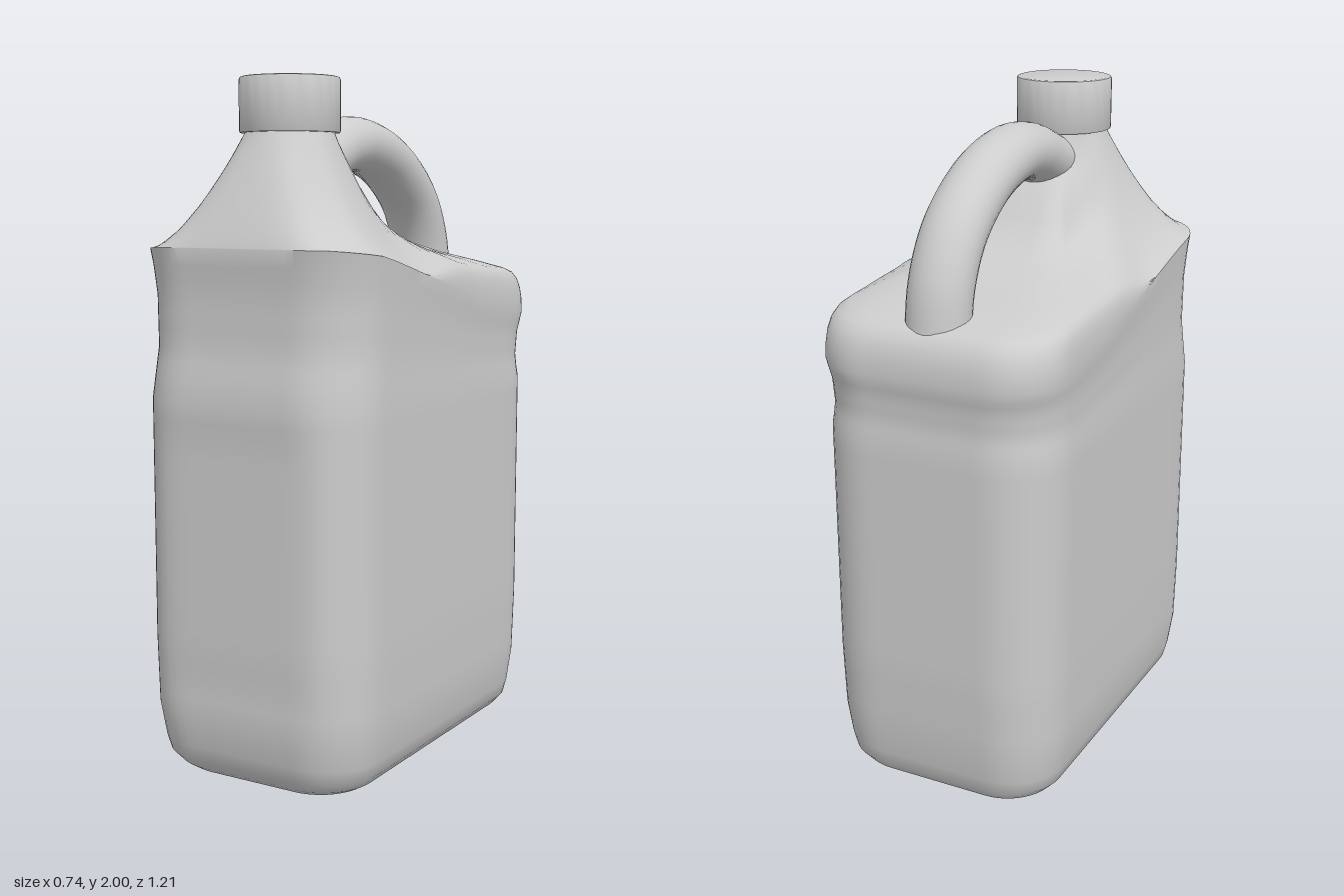
import * as THREE from 'three';
import { toCreasedNormals } from 'three/addons/utils/BufferGeometryUtils.js';

const NECK_Z = 0.307, NECK_R = 0.125, NECK_Y = 1.85;
const { lerp, smoothstep } = THREE.MathUtils;

// Linear lookup in rows sorted by their first entry
function lookup(rows, t, col = 1) {
  let i = 0;
  while (i < rows.length - 2 && t > rows[i + 1][0]) i++;
  const a = rows[i], b = rows[i + 1];
  const k = Math.min(1, Math.max(0, (t - a[0]) / (b[0] - a[0])));
  return lerp(a[col], b[col], k);
}

// Wall sections: height, half width, front z, back z, corner radius
const WALL = [
  [0, 0.26, 0.5, -0.49, 0.13],
  [0.008, 0.285, 0.52, -0.515, 0.14],
  [0.025, 0.312, 0.542, -0.54, 0.15],
  [0.055, 0.338, 0.564, -0.56, 0.16],
  [0.1, 0.35, 0.577, -0.57, 0.17],
  [0.2, 0.363, 0.595, -0.583, 0.18],
  [0.4, 0.368, 0.604, -0.594, 0.19],
  [1.1, 0.368, 0.604, -0.594, 0.19],
  [1.17, 0.364, 0.594, -0.59, 0.19],
  [1.25, 0.361, 0.58, -0.587, 0.19],
  [1.4, 0.362, 0.578, -0.592, 0.185],
  [1.48, 0.366, 0.585, -0.6, 0.18],
  [1.53, 0.369, 0.592, -0.602, 0.175],
];
// Shoulder line height along z, falling towards the back
const RIM = [[-0.6, 1.3], [-0.4, 1.31], [-0.2, 1.34], [0.03, 1.41], [0.2, 1.46], [0.4, 1.51], [0.57, 1.53]];
// Rise of the roof behind the neck, from rim (0) to neck (1)
const BACK = [[0, 0], [0.003, 0.08], [0.012, 0.14], [0.03, 0.195], [0.06, 0.235], [0.11, 0.262], [0.26, 0.31],
  [0.45, 0.365], [0.58, 0.415], [0.66, 0.455], [0.72, 0.51], [0.78, 0.6], [0.84, 0.71], [0.9, 0.79], [0.96, 0.87], [1, 1]];

// Rounded rectangle in plan, counter-clockwise from above
function outline(hx, zf, zb, r) {
  const pts = [], centres = [[hx - r, zf - r], [hx - r, zb + r], [r - hx, zb + r], [r - hx, zf - r]];
  const at = (c, a) => [centres[c % 4][0] + r * Math.sin(a), centres[c % 4][1] + r * Math.cos(a)];
  for (let c = 0; c < 4; c++) {
    for (let k = 0; k <= 10; k++) pts.push(at(c, (c + k / 10) * Math.PI / 2));
    const a = at(c, (c + 1) * Math.PI / 2), b = at(c + 1, (c + 1) * Math.PI / 2);
    for (let k = 1; k < 14; k++) pts.push([lerp(a[0], b[0], k / 14), lerp(a[1], b[1], k / 14)]);
  }
  return pts;
}

function bodyGeometry() {
  const rings = [];
  // Walls; above 1.1 the sections tilt to follow the shoulder line
  const heights = WALL.map((w) => w[0]);
  for (let y = 0.25; y < 1.08; y += 0.05) heights.push(y);
  heights.push(1.21, 1.3, 1.35, 1.44);
  heights.sort((a, b) => a - b);
  for (const h of heights) {
    const [hx, zf, zb, r] = [1, 2, 3, 4].map((c) => lookup(WALL, h, c));
    rings.push(outline(hx, zf, zb, r).map(([x, z]) => {
      const y = h <= 1.1 ? h : lerp(1.1, lookup(RIM, z), (h - 1.1) / 0.43);
      // Shallow dished panel on the front
      const dish = z > 0.5 ? smoothstep(0.27 - Math.abs(x), 0, 0.08) * smoothstep(h, 0.18, 0.3) * (1 - smoothstep(h, 0.98, 1.1)) : 0;
      return [x, y, z - 0.007 * dish];
    }));
  }
  // Roof, sweeping from the shoulder up to the neck
  const rim = rings[rings.length - 1];
  for (const [u] of BACK.slice(1)) {
    rings.push(rim.map(([x, y, z]) => {
      const d = Math.hypot(x, z - NECK_Z), dx = x / d, dz = (z - NECK_Z) / d;
      const front = smoothstep(dz, 0.6, 0.95), back = smoothstep(-dz, 0.3, 0.9);
      const f = lerp(lerp(Math.pow(u, 1.55), Math.pow(u, 0.92), front), lookup(BACK, u), back);
      return [lerp(x, dx * NECK_R, u), lerp(y, NECK_Y, f), lerp(z, NECK_Z + dz * NECK_R, u)];
    }));
  }
  const n = rim.length, pos = rings.flat(2), index = [];
  for (let i = 0; i < rings.length - 1; i++) {
    for (let j = 0; j < n; j++) {
      const a = i * n + j, b = i * n + (j + 1) % n;
      index.push(a, b, b + n, a, b + n, a + n);
    }
  }
  // Flat base
  pos.push(0, 0, 0);
  for (let j = 0; j < n; j++) index.push(rings.length * n, (j + 1) % n, j);
  const g = new THREE.BufferGeometry();
  g.setAttribute('position', new THREE.Float32BufferAttribute(pos, 3));
  g.setIndex(index);
  return toCreasedNormals(g, 0.6);
}

export function createModel() {
  const group = new THREE.Group();
  const plastic = new THREE.MeshStandardMaterial({ color: 0xcccccc });
  plastic.name = 'grey plastic';
  const add = (name, geometry) => {
    const mesh = new THREE.Mesh(geometry, plastic);
    mesh.name = name;
    group.add(mesh);
    return mesh;
  };

  add('body', bodyGeometry());

  // Screw cap with a slightly softened top edge
  const capProfile = [[0, 1.846], [0.141, 1.846], [0.143, 1.85], [0.143, 1.992], [0.14, 1.998], [0.134, 2], [0, 2]];
  const cap = new THREE.LatheGeometry(capProfile.map(([x, y]) => new THREE.Vector2(x, y)), 48);
  add('cap', toCreasedNormals(cap, 0.7)).position.z = NECK_Z;

  // Arched carrying handle, a little wider than it is thick
  const path = [[0.25, 1.745], [0.16, 1.775], [0.06, 1.812], [-0.05, 1.822], [-0.2, 1.787],
    [-0.32, 1.72], [-0.4, 1.645], [-0.46, 1.53], [-0.485, 1.38]];
  const curve = new THREE.CatmullRomCurve3(path.map(([z, y]) => new THREE.Vector3(0, y, z)));
  add('handle', new THREE.TubeGeometry(curve, 64, 0.083, 28)).scale.x = 1.13;

  return group;
}
